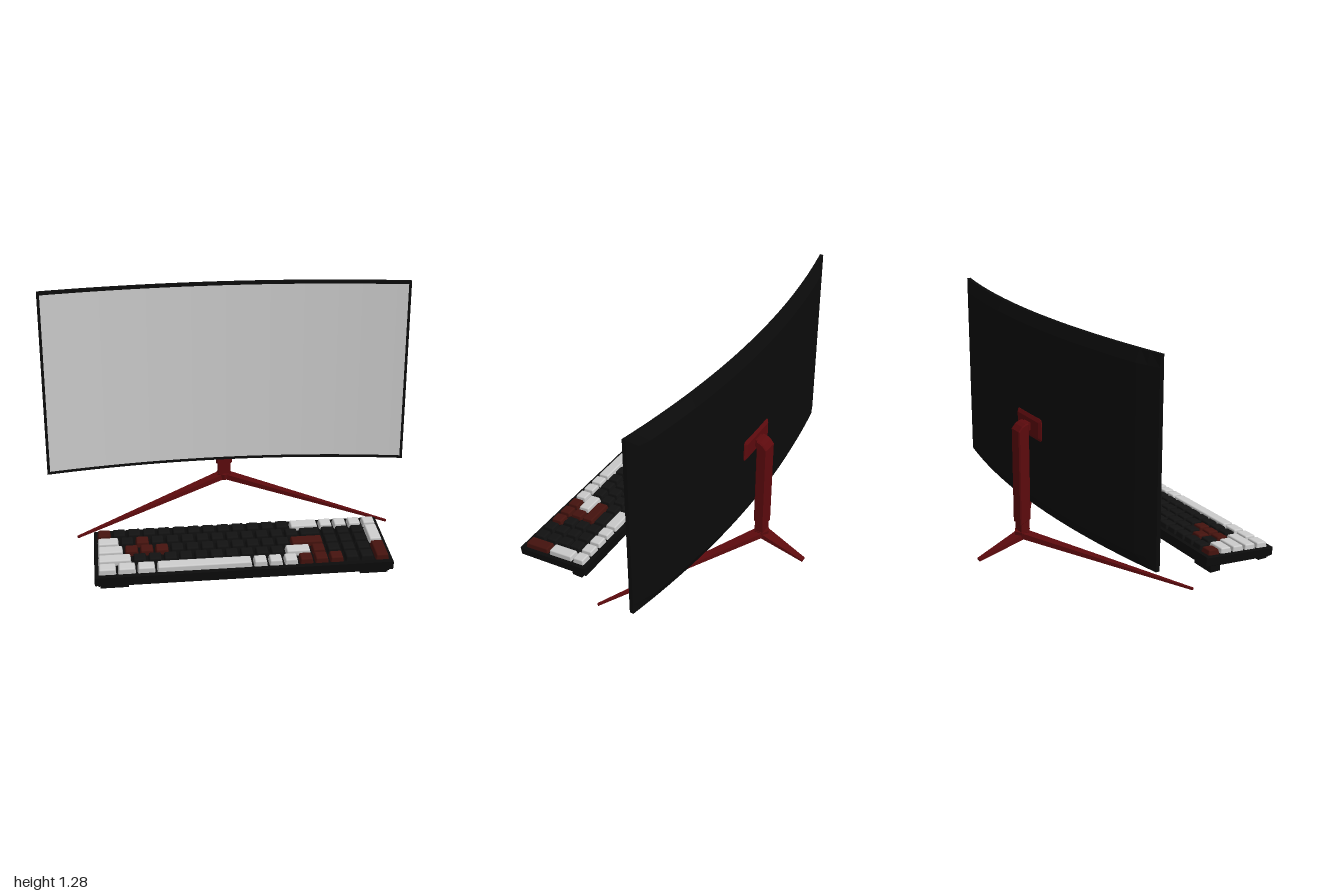
import * as THREE from 'three';
import { RoundedBoxGeometry } from 'three/addons/geometries/RoundedBoxGeometry.js';

const mat = (color, extra = {}) => new THREE.MeshStandardMaterial({ color, ...extra });
const BLACK = mat(0x0b0b0b, { flatShading: true });
const STAND_RED = mat(0x5c0a0d, { flatShading: true });
const SCREEN = mat(0xcccccc, { flatShading: true });
const KEYS = { k: mat(0x121212), r: mat(0x45130e), w: mat(0xcccccc) };

function add(parent, name, geometry, material, x = 0, y = 0, z = 0) {
  const mesh = new THREE.Mesh(geometry, material);
  mesh.name = name;
  mesh.position.set(x, y, z);
  parent.add(mesh);
  return mesh;
}

// Skin a list of equal-sized rings (counterclockwise seen from the last ring's end), capped.
function loft(rings) {
  const n = rings[0].length, index = [];
  const last = (rings.length - 1) * n;
  for (let i = 0; i < rings.length - 1; i++) {
    for (let k = 0; k < n; k++) {
      const a = i * n + k, b = i * n + (k + 1) % n;
      index.push(a, b, b + n, a, b + n, a + n);
    }
  }
  for (let k = 1; k < n - 1; k++) index.push(0, k + 1, k, last, last + k, last + k + 1);
  const geo = new THREE.BufferGeometry();
  geo.setAttribute('position', new THREE.Float32BufferAttribute(rings.flat(2), 3));
  geo.setIndex(index);
  geo.computeVertexNormals();
  return geo;
}

// Extrude a [z, y] profile across x, with bevelled edges.
function sideExtrude(points, width, bevel) {
  const shape = new THREE.Shape(points.map(([z, y]) => new THREE.Vector2(z, y)));
  const geo = new THREE.ExtrudeGeometry(shape, {
    depth: width - 2 * bevel, bevelEnabled: bevel > 0, bevelThickness: bevel,
    bevelSize: bevel, bevelOffset: -bevel, bevelSegments: 1,
  });
  return geo.translate(0, 0, -width / 2 + bevel).rotateY(-Math.PI / 2);
}

// Straight bar that tapers from [width, height] s0 to s1.
function taperedBar(p0, p1, s0, s1) {
  const a = new THREE.Vector3(...p0), b = new THREE.Vector3(...p1);
  const side = new THREE.Vector3(0, 1, 0).cross(b.clone().sub(a)).normalize();
  const ring = (p, [w, h]) => [[1, 1], [-1, 1], [-1, -1], [1, -1]].map(([s, u]) =>
    [p.x + side.x * s * w / 2, p.y + u * h / 2, p.z + side.z * s * w / 2]);
  return loft([ring(a, s0), ring(b, s1)]);
}

function createMonitor() {
  const monitor = new THREE.Group();
  monitor.name = 'monitor';
  const y0 = 0.245, y1 = 1.28, steps = 32;
  const frontZ = (x) => -0.31 + 0.1 * x * x;

  // curved housing, its back chamfered towards all four edges
  const xs = [-0.88, 0.88];
  for (let i = 0; i <= steps; i++) xs.push(-1 + 2 * i / steps);
  xs.sort((a, b) => a - b);
  const rings = xs.map((x) => {
    const f = frontZ(x), edge = f - 0.02;
    const back = f - 0.02 - 0.025 * Math.min(1, (1 - Math.abs(x)) / 0.12);
    return [[x, y1 - 0.06, back], [x, y1, edge], [x, y1, f],
      [x, y0, f], [x, y0, edge], [x, y0 + 0.06, back]];
  });
  add(monitor, 'housing', loft(rings), BLACK);

  // curved screen inside a thin bezel
  const screen = new THREE.PlaneGeometry(1.97, y1 - y0 - 0.034, steps, 1);
  const pos = screen.attributes.position;
  for (let i = 0; i < pos.count; i++) pos.setZ(i, frontZ(pos.getX(i)) + 0.003);
  screen.computeVertexNormals();
  add(monitor, 'screen', screen, SCREEN, 0, (y0 + y1) / 2, 0);
  return monitor;
}

function createStand() {
  const stand = new THREE.Group();
  stand.name = 'stand';

  // mounting plate with rounded corners and sloping rim
  const w = 0.13, h = 0.06, r = 0.02;
  const plate = new THREE.Shape();
  plate.moveTo(-w + r, -h).lineTo(w - r, -h).quadraticCurveTo(w, -h, w, -h + r)
    .lineTo(w, h - r).quadraticCurveTo(w, h, w - r, h)
    .lineTo(-w + r, h).quadraticCurveTo(-w, h, -w, h - r)
    .lineTo(-w, -h + r).quadraticCurveTo(-w, -h, -w + r, -h);
  const plateGeo = new THREE.ExtrudeGeometry(plate, {
    depth: 0.008, bevelThickness: 0.01, bevelSize: 0.018, bevelOffset: -0.018,
    bevelSegments: 1, curveSegments: 4,
  });
  add(stand, 'mountPlate', plateGeo, STAND_RED, 0, 0.697, -0.357);
  add(stand, 'mountNeck', new THREE.BoxGeometry(0.06, 0.04, 0.04), STAND_RED, 0, 0.697, -0.375);

  // upright with curved top, sliding over a slimmer column
  const post = [[-0.38, 0.19], [-0.38, 0.72], [-0.4, 0.716], [-0.42, 0.705],
    [-0.44, 0.68], [-0.44, 0.165]].reverse();
  add(stand, 'post', sideExtrude(post, 0.088, 0.006), STAND_RED);
  add(stand, 'column', new THREE.BoxGeometry(0.07, 0.14, 0.048), STAND_RED, 0, 0.16, -0.409);

  // hub and three splayed legs
  add(stand, 'hub', new THREE.CylinderGeometry(0.045, 0.04, 0.034, 6), STAND_RED, 0, 0.104, -0.41);
  for (const s of [1, -1]) {
    add(stand, s > 0 ? 'leftLeg' : 'rightLeg',
      taperedBar([0, 0.104, -0.42], [s * 0.842, 0.01, 0.098], [0.058, 0.032], [0.012, 0.01]), STAND_RED);
  }
  add(stand, 'rearLeg',
    taperedBar([0, 0.104, -0.4], [0, 0.008, -0.667], [0.075, 0.032], [0.03, 0.01]), STAND_RED);
  return stand;
}

function createKeyboard() {
  const keyboard = new THREE.Group();
  keyboard.name = 'keyboard';
  keyboard.position.x = -0.0075;

  // wedge-shaped case with a shallow lower tray and four feet
  const body = [[0.663, 0.024], [0.668, 0.068], [0.243, 0.108], [0.24, 0.056]];
  add(keyboard, 'case', sideExtrude(body, 1.495, 0.004), BLACK);
  const tray = [[0.652, 0.014], [0.655, 0.04], [0.255, 0.07], [0.285, 0.043]];
  add(keyboard, 'tray', sideExtrude(tray, 1.46, 0), BLACK);
  for (const s of [1, -1]) {
    add(keyboard, 'frontFoot', new THREE.BoxGeometry(0.14, 0.02, 0.055), BLACK, s * 0.65, 0.012, 0.622);
    add(keyboard, 'rearFoot', new THREE.BoxGeometry(0.14, 0.045, 0.06), BLACK, s * 0.65, 0.0255, 0.317);
  }

  // keys on a tilted bed: [colour, width in units, how many, rows tall]
  const bed = new THREE.Group();
  bed.name = 'keys';
  bed.position.set(0, 0.086, 0.4545);
  bed.rotation.x = 0.094;
  keyboard.add(bed);
  const rows = [
    [['r', 1, 1], ['k', 1, 12], ['w', 2, 1], ['w', 1, 4]],
    [['w', 1.5, 1], ['k', 1, 1], ['r', 1, 1], ['k', 1, 10], ['k', 1.5, 1], ['k', 1, 3], ['w', 1, 1, 2]],
    [['w', 1.75, 1], ['r', 1, 3], ['k', 1, 8], ['r', 2.25, 1], ['k', 1, 3]],
    [['w', 2.25, 1], ['k', 1, 10], ['w', 1.75, 1], ['r', 1, 1], ['k', 1, 3], ['r', 1, 1, 2]],
    [['w', 1.25, 3], ['w', 6.25, 1], ['w', 1, 3], ['r', 1, 3], ['k', 1, 2]],
  ];
  const unit = 0.0771, gap = 0.004, keyHeight = 0.042;
  rows.forEach((row, j) => {
    let x = -9.5;
    for (const [color, width, count, tall = 1] of row) {
      for (let i = 0; i < count; i++, x += width) {
        const w = width * unit - gap, d = tall * unit - gap;
        const geo = new RoundedBoxGeometry(w, keyHeight, d, 2, 0.007);
        // narrow the cap towards its top
        const p = geo.attributes.position;
        for (let v = 0; v < p.count; v++) {
          const t = (p.getY(v) / keyHeight + 0.5) * 0.007;
          p.setX(v, p.getX(v) - Math.sign(p.getX(v)) * t);
          p.setZ(v, p.getZ(v) - Math.sign(p.getZ(v)) * t);
        }
        add(bed, 'key', geo, KEYS[color], (x + width / 2) * unit, 0.008, (j - 2.5 + tall / 2) * unit);
      }
    }
  });
  return keyboard;
}

export function createModel() {
  const model = new THREE.Group();
  model.name = 'desktopSetup';
  model.add(createMonitor(), createStand(), createKeyboard());
  return model;
}
